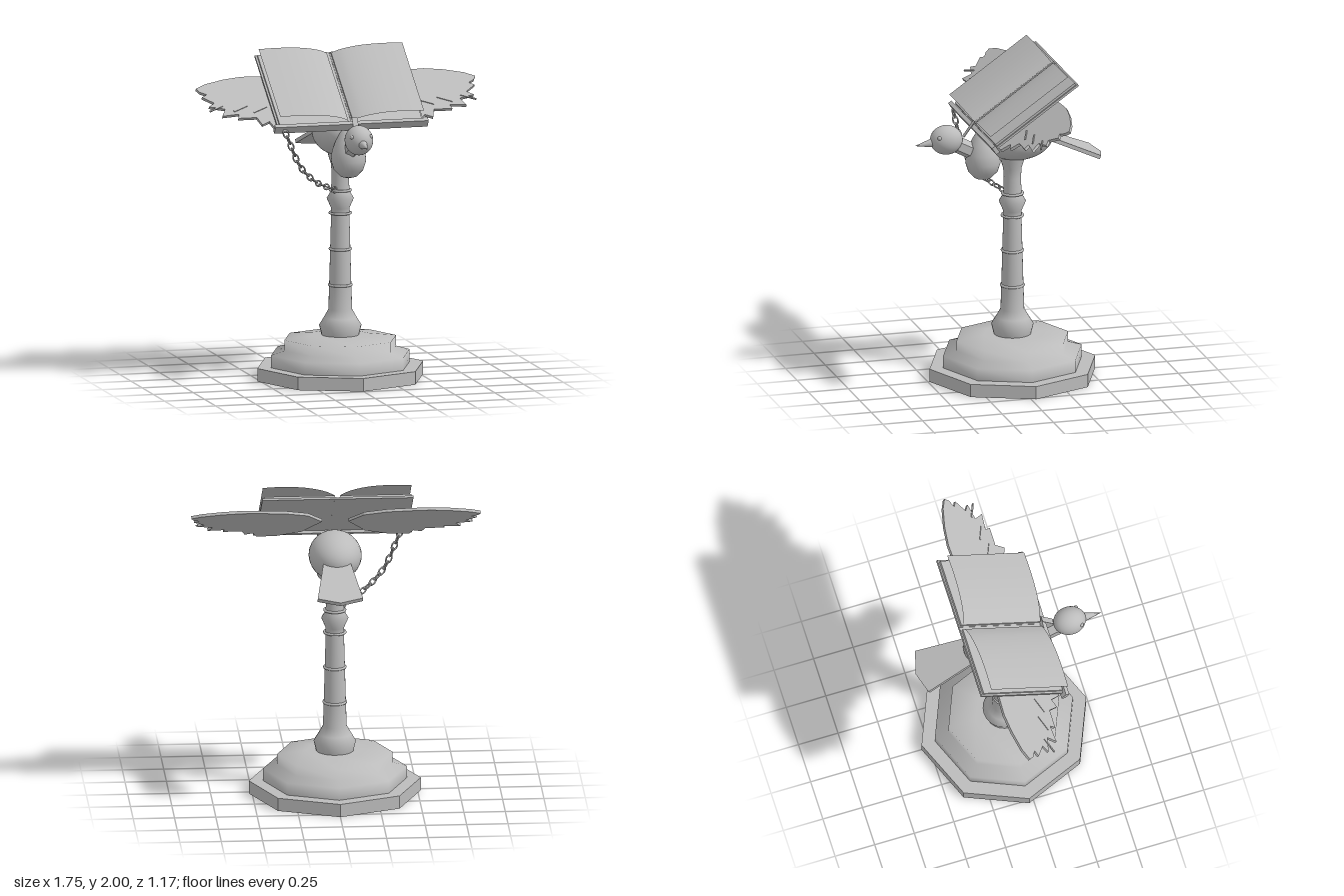
import * as THREE from 'three';

const stone = new THREE.MeshStandardMaterial({ color: 0xbcbcbc, side: THREE.DoubleSide });
stone.name = 'grey stone';

const POST_Z = -0.03;
const V2 = (pts) => pts.map(([x, y]) => new THREE.Vector2(x, y));

function add(parent, name, geometry, x = 0, y = 0, z = 0) {
  const mesh = new THREE.Mesh(geometry, stone);
  mesh.name = name;
  mesh.position.set(x, y, z);
  parent.add(mesh);
  return mesh;
}

function flat(geometry) {
  const g = geometry.toNonIndexed();
  g.computeVertexNormals();
  return g;
}

function ellipsoid(parent, name, rx, ry, rz, x, y, z) {
  const mesh = add(parent, name, new THREE.SphereGeometry(1, 32, 20), x, y, z);
  mesh.scale.set(rx, ry, rz);
  return mesh;
}

// Flat outline in x and z, given a small thickness in y
function plate(points, thickness) {
  const shape = new THREE.Shape(V2(points.map(([x, z]) => [x, -z])));
  const g = new THREE.ExtrudeGeometry(shape, { depth: thickness, bevelEnabled: false });
  return g.rotateX(-Math.PI / 2).translate(0, -thickness / 2, 0);
}

function buildStand(root) {
  const stand = new THREE.Group();
  stand.name = 'stand';
  stand.position.z = POST_Z;
  root.add(stand);

  // Octagonal plinth with two softer steps
  add(stand, 'plinth', flat(new THREE.CylinderGeometry(0.52, 0.52, 0.08, 8)), 0, 0.04, 0);
  add(stand, 'steps', new THREE.LatheGeometry(V2([
    [0.435, 0.08], [0.435, 0.155], [0.35, 0.18], [0.35, 0.245], [0.18, 0.265], [0, 0.265]]), 8));

  // Turned post with a flared foot and a knob
  add(stand, 'post', new THREE.LatheGeometry(V2([
    [0.112, 0.26], [0.128, 0.325], [0.1, 0.37], [0.072, 0.42], [0.067, 0.57], [0.061, 0.79],
    [0.055, 1.01], [0.056, 1.04], [0.082, 1.1], [0.056, 1.145], [0.055, 1.16],
    [0.052, 1.25], [0.056, 1.31], [0.072, 1.36], [0.08, 1.42]]), 24));
  [[0.57, 0.067], [0.79, 0.063], [1.01, 0.063], [1.15, 0.062]].forEach(([y, r]) => {
    add(stand, 'postRing', new THREE.TorusGeometry(r, 0.008, 8, 28).rotateX(Math.PI / 2), 0, y, 0);
  });
}

function buildBird(root) {
  const bird = new THREE.Group();
  bird.name = 'bird';
  root.add(bird);

  ellipsoid(bird, 'body', 0.16, 0.145, 0.222, 0, 1.505, -0.06);
  ellipsoid(bird, 'head', 0.085, 0.09, 0.1, 0, 1.52, 0.385);

  // Teardrop breast
  add(bird, 'breast', new THREE.LatheGeometry(V2([
    [0, 1.25], [0.05, 1.263], [0.09, 1.305], [0.107, 1.36], [0.1, 1.42],
    [0.08, 1.475], [0.052, 1.53], [0.025, 1.56], [0, 1.568]]), 28), 0, 0, 0.155);

  // Six-sided neck
  const neck = add(bird, 'neck', flat(new THREE.CylinderGeometry(0.05, 0.05, 0.2, 6)), 0, 1.46, 0.27);
  neck.rotation.x = 1.09;

  const beak = add(bird, 'beak', new THREE.ConeGeometry(0.03, 0.12, 16), 0, 1.503, 0.523);
  beak.rotation.x = Math.PI / 2 + 0.1;
  for (const s of [-1, 1]) ellipsoid(bird, 'eye', 0.013, 0.013, 0.013, s * 0.058, 1.55, 0.443);

  // Fan tail sloping down at the back
  const tail = add(bird, 'tail', plate([
    [-0.075, 0.04], [0.075, 0.04], [0.137, -0.335], [0, -0.378], [-0.137, -0.335]], 0.024), 0, 1.5, -0.235);
  tail.rotation.x = -0.4;
}

function pageSheet(side) {
  // Open leaf rising from the spine
  const curve = new THREE.SplineCurve(V2([
    [0.015, 0.02], [0.07, 0.046], [0.15, 0.066], [0.24, 0.077], [0.35, 0.08], [0.45, 0.076]]));
  const g = new THREE.PlaneGeometry(1, 0.59, 20, 1).rotateX(-Math.PI / 2);
  const p = g.attributes.position;
  for (let i = 0; i < p.count; i++) {
    const t = p.getX(i) + 0.5;
    const c = curve.getPoint(side > 0 ? t : 1 - t);
    p.setXYZ(i, side * c.x, c.y, p.getZ(i) - 0.06);
  }
  g.computeVertexNormals();
  return g;
}

function buildDesk(root) {
  const desk = new THREE.Group();
  desk.name = 'readingDesk';
  desk.position.set(0, 1.73, 0);
  desk.rotation.x = THREE.MathUtils.degToRad(34.7);
  root.add(desk);

  // Book and the ledge it rests on
  add(desk, 'ledge', new THREE.BoxGeometry(0.96, 0.05, 0.026), 0, -0.002, 0.258);
  for (const s of [-1, 1]) {
    add(desk, 'cover', new THREE.BoxGeometry(0.45, 0.013, 0.62), s * 0.232, -0.004, -0.068);
    add(desk, 'pageBlock', new THREE.BoxGeometry(0.43, 0.013, 0.605), s * 0.23, 0.009, -0.065);
    add(desk, 'pages', pageSheet(s));
  }
  add(desk, 'spine', new THREE.BoxGeometry(0.04, 0.01, 0.62), 0, -0.006, -0.068);

  // Spread wings with ragged feather ends
  const outline = [
    [0.08, -0.04], [0.17, -0.16], [0.31, -0.21], [0.46, -0.225], [0.57, -0.23], [0.69, -0.213],
    [0.81, -0.18], [0.875, -0.145], [0.86, -0.115], [0.82, -0.09], [0.855, -0.07], [0.79, -0.015],
    [0.83, 0.015], [0.735, 0.04], [0.765, 0.1], [0.66, 0.09], [0.67, 0.125], [0.555, 0.125],
    [0.535, 0.19], [0.485, 0.165], [0.46, 0.235], [0.34, 0.225], [0.19, 0.15]];
  for (const s of [-1, 1]) {
    add(desk, 'wing', plate(outline.map(([x, z]) => [s * x, z]), 0.018), 0, -0.036, 0);
    for (const [x, z] of [[0.79, 0.035], [0.64, 0.045], [0.52, 0.06]]) {
      const quill = add(desk, 'quill', new THREE.BoxGeometry(0.1, 0.008, 0.009), s * x, -0.026, z);
      quill.rotation.y = -s * 0.45;
    }
  }
}

function buildRibbon(root) {
  // Bookmark hanging from the book to the nape
  const a = new THREE.Vector3(0.02, 1.63, 0.215);
  const b = new THREE.Vector3(0.02, 1.535, 0.285);
  const mesh = add(root, 'bookmark', new THREE.BoxGeometry(0.035, a.distanceTo(b), 0.003));
  mesh.position.copy(a).lerp(b, 0.5);
  mesh.rotation.x = Math.atan2(b.z - a.z, b.y - a.y) + Math.PI;
}

function buildChain(root) {
  const chain = new THREE.Group();
  chain.name = 'chain';
  root.add(chain);
  const curve = new THREE.CatmullRomCurve3([
    [-0.41, 1.55, 0.22], [-0.31, 1.34, 0.185], [-0.2, 1.235, 0.13], [-0.05, 1.16, 0.02],
  ].map((p) => new THREE.Vector3(...p)));
  const link = new THREE.TorusGeometry(0.016, 0.005, 6, 14).scale(1.6, 1, 1);
  const count = 15;
  const axis = new THREE.Vector3(1, 0, 0);
  for (let i = 0; i < count; i++) {
    const t = i / (count - 1);
    const mesh = add(chain, 'link', link);
    mesh.position.copy(curve.getPointAt(t));
    mesh.quaternion.setFromUnitVectors(axis, curve.getTangentAt(t));
    mesh.rotateX(i % 2 ? Math.PI / 2 : 0);
  }
}

export function createModel() {
  const root = new THREE.Group();
  root.name = 'birdLectern';
  buildStand(root);
  buildBird(root);
  buildDesk(root);
  buildRibbon(root);
  buildChain(root);
  return root;
}
